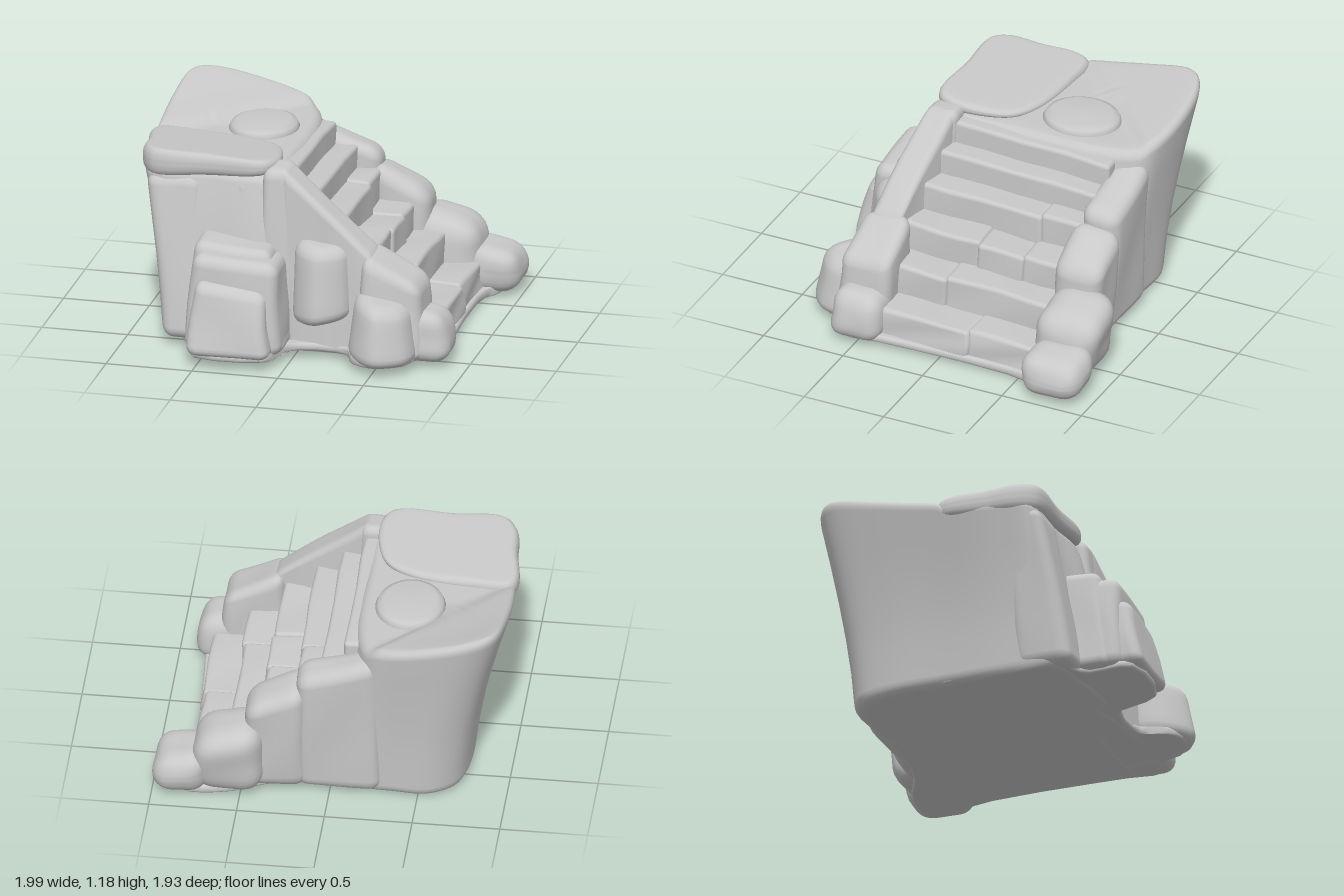
import * as THREE from 'three';
import { mergeVertices } from 'three/addons/utils/BufferGeometryUtils.js';

const SEG = 10, EDGE = 3; // grid per face, and rows used by the rounded edge
const { lerp, clamp, smoothstep } = THREE.MathUtils;

// Rounded block warped so that it fills the space between a bottom and a top rectangle.
// bot/top: [x0, x1, z0, z1]; yb/yt: height, or heights at [x0z0, x1z0, x1z1, x0z1]
// skew: z shift at the x1 end
function stoneGeometry({ bot, top = bot, yb = 0.04, yt, r = 0.06, skew = 0 }) {
  const b = [].concat(yb), t = [].concat(yt);
  const yB = i => b[i % b.length], yT = i => t[i % t.length];
  const avg = a => a.reduce((s, v) => s + v, 0) / a.length;
  const size = [
    (bot[1] - bot[0] + top[1] - top[0]) / 2, avg(t) - avg(b), (bot[3] - bot[2] + top[3] - top[2]) / 2,
  ];
  r = Math.min(r, ...size.map(s => s * 0.48));
  // place grid rows so that the outer ones fall inside the rounded edge
  const remap = (u, s) => {
    const i = Math.round((u + 0.5) * SEG), h = s / 2;
    if (i <= EDGE) return -h + r * i / EDGE;
    if (i >= SEG - EDGE) return h - r * (SEG - i) / EDGE;
    return (-h + r) + (s - 2 * r) * (i - EDGE) / (SEG - 2 * EDGE);
  };
  let geo = new THREE.BoxGeometry(1, 1, 1, SEG, SEG, SEG);
  geo.deleteAttribute('uv');
  geo.deleteAttribute('normal');
  geo = mergeVertices(geo, 1e-4);
  const pos = geo.attributes.position, p = new THREE.Vector3(), q = new THREE.Vector3();
  for (let i = 0; i < pos.count; i++) {
    p.set(remap(pos.getX(i), size[0]), remap(pos.getY(i), size[1]), remap(pos.getZ(i), size[2]));
    q.copy(p);
    ['x', 'y', 'z'].forEach((a, k) => {
      const m = size[k] / 2 - r;
      q[a] = clamp(p[a], -m, m);
    });
    p.sub(q).setLength(r).add(q);
    const u = p.x / size[0] + 0.5, v = p.y / size[1] + 0.5, w = p.z / size[2] + 0.5;
    const x = lerp(lerp(bot[0], bot[1], u), lerp(top[0], top[1], u), v);
    const z = lerp(lerp(bot[2], bot[3], w), lerp(top[2], top[3], w), v) + skew * u;
    const low = lerp(lerp(yB(0), yB(1), u), lerp(yB(3), yB(2), u), w);
    const high = lerp(lerp(yT(0), yT(1), u), lerp(yT(3), yT(2), u), w);
    // gentle unevenness of hewn rock
    const n = 0.005;
    pos.setXYZ(i,
      x + n * Math.sin(9 * z + 7 * v),
      lerp(low, high, v) + n * Math.sin(8 * x + 11 * z) * v,
      z + n * Math.sin(10 * x + 6 * v));
  }
  geo.computeVertexNormals();
  return geo;
}

// Rock lofted between two smooth plan outlines of [x, z] points, with rounded rims.
// low/high give the height of the underside and the top at (x, z); flare > 1 curves the sides outwards near the top
function loftGeometry({ bot, top = bot, low, high, r, flare = 1 }) {
  const N = 72;
  const curve = pts => new THREE.CatmullRomCurve3(pts.map(([x, z]) => new THREE.Vector3(x, 0, z)), true);
  const cb = curve(bot), ct = curve(top);
  const centre = pts => pts.reduce((c, [x, z]) => c.add(new THREE.Vector3(x, 0, z)), new THREE.Vector3())
    .divideScalar(pts.length);
  const c0 = centre(bot), c1 = centre(top);
  const height = high(c1.x, c1.z) - low(c0.x, c0.z);
  // rings as [height fraction, inset, shrink]
  const rings = [0, 0.4, 0.8].map(s => [0, r, s]);
  const arc = [0, 0.25, 0.5, 0.75, 1].map(k => k * Math.PI / 2);
  arc.forEach(a => rings.push([r * (1 - Math.cos(a)) / height, r * (1 - Math.sin(a)), 1]));
  [0.2, 0.4, 0.6, 0.8].forEach(v => rings.push([lerp(r / height, 1 - r / height, v), 0, 1]));
  arc.forEach(a => rings.push([1 - r * (1 - Math.sin(a)) / height, r * (1 - Math.cos(a)), 1]));
  [0.9, 0.8, 0.7, 0.6, 0.45, 0.3, 0.15, 0].forEach(s => rings.push([1, r, s]));
  const verts = [], index = [], p = new THREE.Vector3(), c = new THREE.Vector3();
  rings.forEach(([v, inset, shrink], j) => {
    const f = Math.pow(v, flare);
    c.lerpVectors(c0, c1, f);
    for (let i = 0; i < N; i++) {
      p.lerpVectors(cb.getPoint(i / N), ct.getPoint(i / N), f).sub(c);
      p.setLength(Math.max(p.length() - inset, 0) * shrink).add(c);
      verts.push(p.x, lerp(low(p.x, p.z), high(p.x, p.z), v), p.z);
      if (j) {
        const k = (i + 1) % N, a = (j - 1) * N, d = j * N;
        index.push(a + i, a + k, d + k, a + i, d + k, d + i);
      }
    }
  });
  let geo = new THREE.BufferGeometry();
  geo.setAttribute('position', new THREE.Float32BufferAttribute(verts, 3));
  geo.setIndex(index);
  geo = mergeVertices(geo, 1e-5);
  geo.computeVertexNormals();
  return geo;
}

export function createModel() {
  const group = new THREE.Group();
  group.name = 'rockStaircase';
  const rock = new THREE.MeshStandardMaterial({ color: 0xc8c8c8 });
  rock.name = 'grey rock';

  const add = (name, geo) => {
    const mesh = new THREE.Mesh(geo, rock);
    mesh.name = name;
    group.add(mesh);
    return mesh;
  };
  const stone = (name, spec) => add(name, stoneGeometry(spec));
  const loft = (name, spec) => add(name, loftGeometry(spec));

  // Ground slab, just inside the outline of everything above it
  loft('baseSlab', {
    bot: [
      [-0.74, 0.4], [-0.7, 0.56], [-0.56, 0.64], [-0.53, 0.91], [-0.1, 0.9], [-0.02, 0.66], [0.3, 0.64],
      [0.38, 0.79], [0.52, 0.85], [0.67, 0.77], [0.73, 0.63], [0.86, 0.57], [0.84, 0.35], [0.82, -0.55],
      [0.88, -0.66], [0.84, -0.85], [0.6, -0.85], [0.3, -0.73], [-0.3, -0.71], [-0.54, -0.72], [-0.68, -0.63],
      [-0.74, -0.45],
    ],
    low: (x, z) => 0.025 + 0.025 * z, high: (x, z) => 0.075 + 0.02 * z, r: 0.02,
  });

  // Tower flaring upwards, its top rising to a rim at the rear left corner
  loft('tower', {
    bot: [
      [-0.77, -0.1], [-0.77, 0.3], [-0.74, 0.54], [-0.5, 0.61], [-0.1, 0.61], [-0.05, 0], [-0.05, -0.6],
      [-0.15, -0.72], [-0.36, -0.75], [-0.56, -0.75], [-0.71, -0.65], [-0.77, -0.45],
    ],
    top: [
      [-1.0, -0.1], [-0.96, 0.25], [-0.9, 0.44], [-0.55, 0.45], [-0.18, 0.44], [-0.13, 0], [-0.15, -0.6],
      [-0.24, -0.81], [-0.4, -0.88], [-0.8, -0.88], [-0.95, -0.79], [-1.0, -0.5],
    ],
    low: (x, z) => 0.015 + 0.02 * z,
    high: (x, z) => 1.02 + 0.03 * smoothstep(-x - z, 0.98, 1.1) + 0.13 * Math.pow(clamp((-x - z - 1) / 0.68, 0, 1.1), 1.3),
    r: 0.06, flare: 1.6,
  });
  stone('wallColumnOuter', {
    bot: [-0.77, -0.52, 0.3, 0.64], top: [-0.9, -0.58, 0.25, 0.49], yb: 0.04, yt: 0.98, r: 0.07,
  });
  stone('wallColumnInner', {
    bot: [-0.42, -0.05, 0.3, 0.64], top: [-0.38, -0.15, 0.25, 0.48], yb: 0.04, yt: 1.0, r: 0.07,
  });

  // Top of the tower: overhanging front cap and round stone
  loft('frontCap', {
    bot: [
      [-0.99, -0.02], [-0.96, 0.2], [-0.94, 0.38], [-0.86, 0.48], [-0.55, 0.49], [-0.22, 0.49], [-0.16, 0.4],
      [-0.17, 0.2], [-0.24, 0.04], [-0.4, -0.05], [-0.75, -0.1], [-0.95, -0.1],
    ],
    low: x => 0.99 + 0.08 * (x + 0.5),
    high: (x, z) => 1.065 + 0.11 * z - 0.03 * (x + 0.6),
    r: 0.04,
  });
  const disc = add('roundStone', new THREE.LatheGeometry([
    [0.21, -0.1], [0.21, 0], [0.195, 0.03], [0.16, 0.045], [0, 0.05],
  ].map(([x, y]) => new THREE.Vector2(x, y)), 32));
  disc.position.set(-0.41, 1.02, -0.32);
  disc.scale.set(0.95, 1, 1.1);

  // Stairs: front edge, tread height and the joints along z; each step is laid from several stones
  const steps = [
    [-0.07, 1.0, []],
    [0.06, 0.87, []],
    [0.2, 0.74, [-0.36]],
    [0.4, 0.57, [-0.34, -0.06]],
    [0.58, 0.41, [0.06]],
    [0.78, 0.235, [-0.18]],
  ];
  steps.forEach(([edge, y, joints], i) => {
    const back = i ? steps[i - 1][0] - 0.06 : -0.32;
    const cuts = [-0.64, ...joints, 0.42];
    for (let j = 0; j < cuts.length - 1; j++) {
      const x1 = edge + (j % 2 ? 0.012 : -0.003), drop = j % 2 ? 0.01 : 0;
      const tilt = z => y + 0.04 * z - drop;
      const lo = tilt(cuts[j]), hi = tilt(cuts[j + 1]);
      stone('step' + (i + 1), {
        bot: [back, x1 + 0.015, cuts[j] - 0.006, cuts[j + 1] + 0.006],
        top: [back, x1, cuts[j] - 0.006, cuts[j + 1] + 0.006],
        yb: 0.03, yt: [lo, lo, hi, hi], r: 0.025,
      });
    }
  });

  // Front parapet: head post, sloping rail wall and its end block
  stone('frontRailPost', {
    bot: [-0.24, 0.0, 0.31, 0.61], top: [-0.21, -0.05, 0.31, 0.51], yb: 0.04, yt: [1.07, 1.08, 1.07, 1.06], r: 0.06,
  });
  stone('frontRail', {
    bot: [-0.11, 0.47, 0.32, 0.57], top: [-0.11, 0.47, 0.32, 0.51],
    yb: 0.03, yt: [1.11, 0.62, 0.6, 1.09], r: 0.05, skew: 0.09,
  });
  stone('frontRailEnd', {
    bot: [0.36, 0.76, 0.34, 0.69], top: [0.4, 0.74, 0.35, 0.65],
    yb: 0.04, yt: [0.66, 0.49, 0.47, 0.64], r: 0.07,
  });

  // Boulders along the front
  stone('largeBoulderBack', {
    bot: [-0.61, -0.02, 0.45, 0.82], top: [-0.56, -0.12, 0.45, 0.72],
    yb: 0.06, yt: [0.68, 0.65, 0.64, 0.68], r: 0.06,
  });
  stone('largeBoulderStep', {
    bot: [-0.6, -0.03, 0.5, 0.87], top: [-0.55, -0.06, 0.5, 0.83], yb: 0.06, yt: [0.64, 0.6, 0.59, 0.64], r: 0.07,
  });
  stone('largeBoulderFront', {
    bot: [-0.56, -0.07, 0.6, 0.98], top: [-0.52, -0.12, 0.6, 0.89],
    yb: 0.07, yt: [0.54, 0.49, 0.43, 0.49], r: 0.06,
  });
  loft('middleBoulder', {
    bot: [[0, 0.5], [0.0, 0.64], [0.14, 0.75], [0.3, 0.66], [0.33, 0.52], [0.16, 0.42]],
    top: [[0, 0.5], [0.01, 0.6], [0.14, 0.69], [0.28, 0.62], [0.3, 0.52], [0.16, 0.42]],
    low: x => 0.2 + 0.15 * x, high: (x, z) => 0.7 - 0.1 * (z - 0.4) - 0.04 * x, r: 0.07,
  });
  loft('frontBoulder', {
    bot: [[0.33, 0.6], [0.36, 0.78], [0.52, 0.9], [0.7, 0.8], [0.72, 0.62], [0.5, 0.5]],
    top: [[0.37, 0.6], [0.41, 0.74], [0.52, 0.83], [0.65, 0.75], [0.67, 0.6], [0.5, 0.5]],
    low: () => 0.05, high: (x, z) => 0.43 - 0.18 * (x - 0.4) - 0.1 * (z - 0.65), r: 0.07,
  });
  stone('cornerBoulder', {
    bot: [0.6, 0.91, 0.34, 0.67], top: [0.62, 0.87, 0.36, 0.64], yb: 0.03, yt: [0.35, 0.32, 0.31, 0.34], r: 0.09,
  });

  // Rear parapet: boulders descending beside the stairs
  stone('rearBoulder1', {
    bot: [-0.3, 0.2, -0.78, -0.56], top: [-0.28, 0.19, -0.83, -0.6],
    yb: 0.02, yt: [0.95, 0.8, 0.82, 0.97], r: 0.08,
  });
  stone('rearBoulder2', {
    bot: [0.12, 0.5, -0.8, -0.54], top: [0.14, 0.48, -0.86, -0.56],
    yb: 0.02, yt: [0.75, 0.58, 0.6, 0.77], r: 0.09,
  });
  stone('rearBoulder3', {
    bot: [0.36, 0.78, -0.9, -0.54], top: [0.38, 0.77, -0.97, -0.56],
    yb: 0.02, yt: [0.49, 0.4, 0.42, 0.51], r: 0.13,
  });
  stone('rearBoulder4', {
    bot: [0.68, 0.99, -0.94, -0.58], top: [0.68, 1.0, -0.96, -0.58],
    yb: 0.02, yt: [0.31, 0.25, 0.26, 0.31], r: 0.11,
  });
  return group;
}
